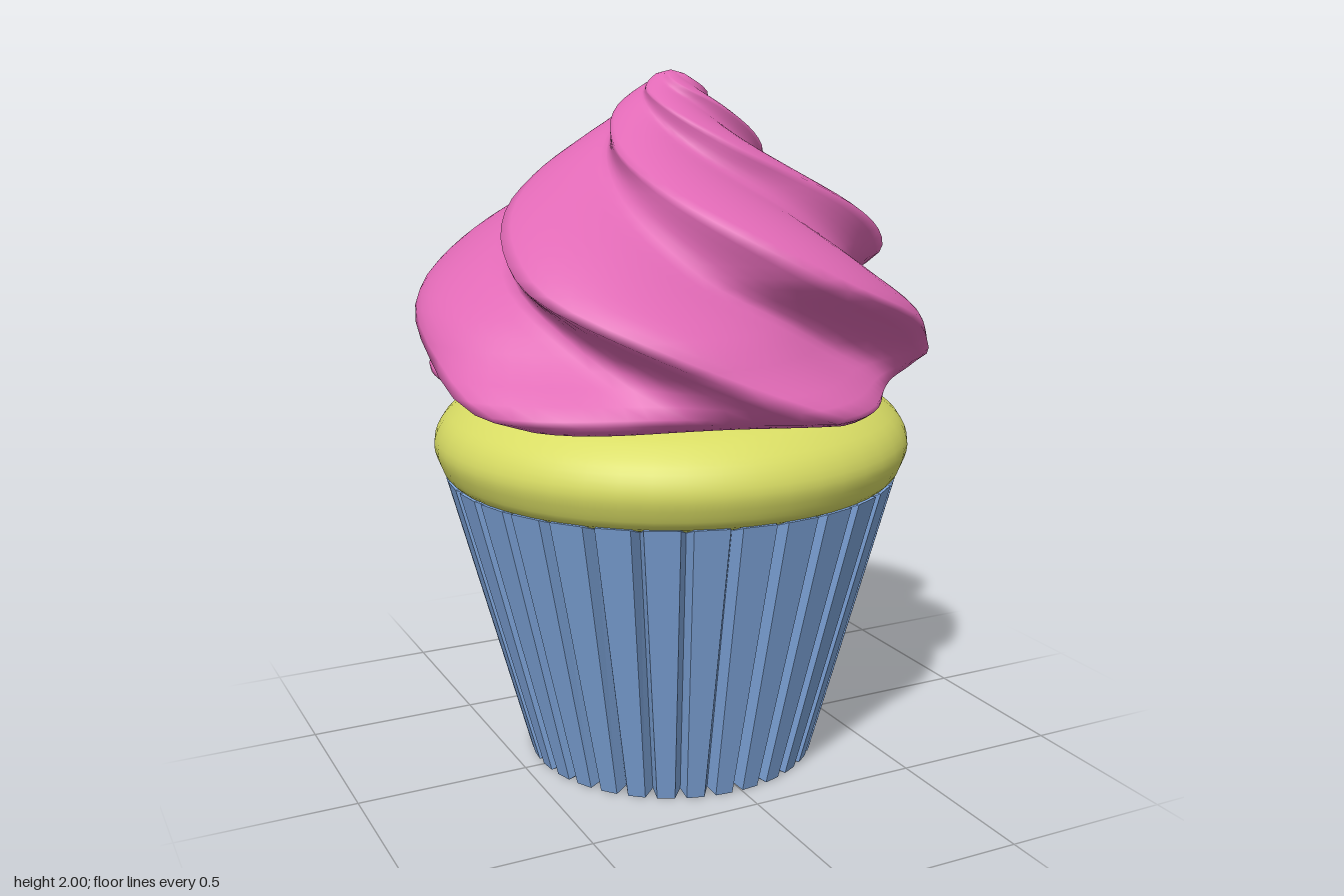
import * as THREE from 'three';

const PLEATS = 32;
const LOBES = 5;

function material(color, flatShading = false) {
  return new THREE.MeshStandardMaterial({ color, flatShading });
}

function part(name, geometry, mat) {
  const mesh = new THREE.Mesh(geometry, mat);
  mesh.name = name;
  return mesh;
}

// Pleated paper cup: a tapered cylinder with V grooves that widen to the foot
function linerGeometry() {
  const g = new THREE.CylinderGeometry(0.66, 0.428, 0.86, PLEATS * 3, 1);
  const pos = g.attributes.position;
  for (let i = 0; i < pos.count; i++) {
    const x = pos.getX(i), y = pos.getY(i), z = pos.getZ(i), r = Math.hypot(x, z);
    const foot = y < 0;
    if (r < 0.01) {
      pos.setY(i, foot ? y + 0.01 : y - 0.02);
      continue;
    }
    const turn = (Math.atan2(x, z) / (2 * Math.PI) + 1) % 1;
    const k = Math.round(turn * PLEATS * 3) % (PLEATS * 3);
    const half = foot ? 0.2 : 0.13;
    const step = Math.floor(k / 3) + [0, half, 1 - half][k % 3];
    const a = step / PLEATS * 2 * Math.PI;
    const groove = k % 3 === 0;
    const radius = groove ? r * 0.925 : r;
    const lift = groove ? (foot ? 0.015 : -0.02) : 0;
    pos.setXYZ(i, radius * Math.sin(a), y + lift, radius * Math.cos(a));
  }
  g.translate(0, 0.43, 0);
  const flat = g.toNonIndexed();
  flat.computeVertexNormals();
  return flat;
}

// Rounded cake edge swelling over the rim of the cup
function cakeGeometry() {
  const profile = new THREE.SplineCurve([
    [0.58, 0.83], [0.65, 0.86], [0.676, 0.9], [0.69, 0.955],
    [0.672, 1.01], [0.63, 1.055], [0.56, 1.095], [0.4, 1.125], [0, 1.135],
  ].map(([r, y]) => new THREE.Vector2(r, y))).getPoints(24);
  profile[profile.length - 1].x = 0;
  return new THREE.LatheGeometry([new THREE.Vector2(0, 0.83), ...profile], 48);
}

// Lobe section: 1 on the ridge, concave fall to the valley, then a convex rise
function lobe(u, power) {
  const valley = 0.4;
  if (u < valley) return 1 - Math.sin(u / valley * Math.PI / 2);
  return Math.sin((u - valley) / (1 - valley) * Math.PI / 2) ** power;
}

// Twisted swirl: star sections stacked along a ridge path (twist, radius, height)
function frostingGeometry() {
  const ridge = [
    [-10, 0.68, 1.1], [0, 0.765, 1.145], [21, 0.735, 1.25], [41, 0.728, 1.355],
    [62, 0.69, 1.455], [76, 0.615, 1.545], [91, 0.515, 1.63], [110, 0.39, 1.715],
    [131, 0.295, 1.785], [152, 0.22, 1.845], [182, 0.15, 1.905], [225, 0.09, 1.955],
    [260, 0.04, 1.99],
  ];
  const curve = new THREE.CatmullRomCurve3(
    ridge.map(([d, r, y]) => new THREE.Vector3(d / 100, r, y)));
  const rows = 36, perLobe = 16, cols = LOBES * perLobe;
  const { smoothstep, lerp, degToRad } = THREE.MathUtils;
  const points = [], index = [];

  for (let j = 0; j <= rows; j++) {
    const p = curve.getPoint(j / rows);
    const twist = degToRad(13 + p.x * 100);
    // grooves are shallow at the foot and tip, and the foot lobes are pinched
    const grown = smoothstep(p.z, 1.1, 1.35);
    const depth = lerp(0.16, 0.27, grown) - 0.08 * smoothstep(p.z, 1.8, 1.98);
    const power = lerp(2.4, 1.1, grown);
    for (let i = 0; i < cols; i++) {
      const a = twist + i / cols * 2 * Math.PI;
      const r = p.y * (1 - depth * (1 - lobe((i % perLobe) / perLobe, power)));
      points.push(r * Math.cos(a), p.z, r * Math.sin(a));
    }
  }
  const bottom = points.length / 3, top = bottom + 1;
  points.push(0, 1.1, 0, 0, 2, 0);

  for (let i = 0; i < cols; i++) {
    const n = (i + 1) % cols, last = rows * cols;
    for (let j = 0; j < rows; j++) {
      const a = j * cols + i, b = j * cols + n;
      index.push(a, a + cols, b, b, a + cols, b + cols);
    }
    index.push(bottom, i, n, top, last + n, last + i);
  }
  const g = new THREE.BufferGeometry();
  g.setAttribute('position', new THREE.Float32BufferAttribute(points, 3));
  g.setIndex(index);
  g.computeVertexNormals();
  return g;
}

export function createModel() {
  const model = new THREE.Group();
  model.name = 'cupcake';
  const body = new THREE.Group();
  body.name = 'cupcakeBody';
  body.add(
    part('paperLiner', linerGeometry(), material(0x7fa6dc, true)),
    part('cake', cakeGeometry(), material(0xd8dc64)),
    part('frostingSwirl', frostingGeometry(), material(0xe069b5)),
  );
  body.position.set(-0.013, 0, -0.02);
  model.add(body);
  return model;
}
